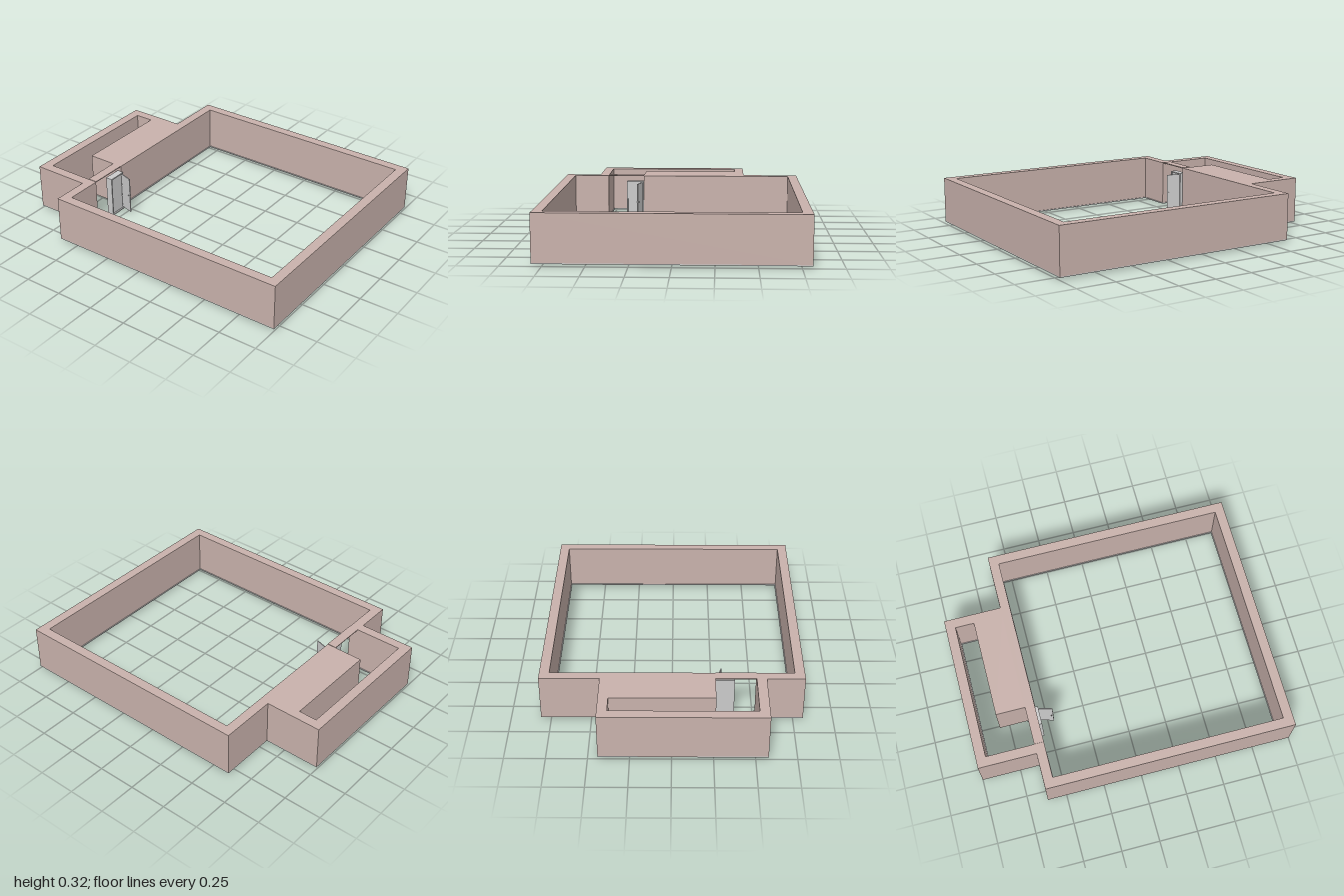
import * as THREE from 'three';

const brick = new THREE.MeshStandardMaterial({ color: 0xc9b2ac });
const grey = new THREE.MeshStandardMaterial({ color: 0xcccccc });

// Box given by its lower and upper corners
function box(name, material, [x0, y0, z0], [x1, y1, z1]) {
  const mesh = new THREE.Mesh(new THREE.BoxGeometry(x1 - x0, y1 - y0, z1 - z0), material);
  mesh.position.set((x0 + x1) / 2, (y0 + y1) / 2, (z0 + z1) / 2);
  mesh.name = name;
  return mesh;
}

const toPoints = (list) => list.map(([x, z]) => new THREE.Vector2(x, z));

// Wall plan: large room plus side annex, joined by a doorway; i widens the plan inwards
function plan(name, material, y0, y1, i) {
  const shape = new THREE.Shape(toPoints([
    [-0.625, -0.812], [1, -0.812], [1, 0.812], [-0.625, 0.812],
    [-0.625, 0.577], [-1, 0.577], [-1, -0.44], [-0.625, -0.44],
  ]));
  shape.holes.push(new THREE.Path(toPoints([
    [0.937 - i, -0.75 + i], [0.937 - i, 0.75 - i], [-0.563 + i, 0.75 - i], [-0.563 + i, 0.515 - i],
    [-0.937 + i, 0.515 - i], [-0.937 + i, -0.378 + i], [-0.625 - i, -0.378 + i],
    [-0.625 - i, 0.265 + i], [-0.563 + i, 0.265 + i], [-0.563 + i, -0.75 + i],
  ])));
  const geometry = new THREE.ExtrudeGeometry(shape, { depth: y1 - y0, bevelEnabled: false });
  geometry.rotateX(Math.PI / 2).translate(0, y1, 0);
  const mesh = new THREE.Mesh(geometry, material);
  mesh.name = name;
  return mesh;
}

export function createModel() {
  const model = new THREE.Group();
  model.name = 'walledRooms';

  // Walls on a thin base strip that shows inside
  model.add(plan('baseStrip', grey, 0.015, 0.021, 0.006));
  model.add(plan('walls', brick, 0.021, 0.315, 0));

  // Solid block filling part of the annex, and the thin slab above the doorway
  model.add(box('annexBlock', brick, [-0.815, 0.018, -0.378], [-0.625, 0.315, 0.265]));
  model.add(box('doorwaySlab', brick, [-0.625, 0.312, 0.265], [-0.563, 0.318, 0.515]));

  // Frame with back panel standing in the doorway
  const frame = new THREE.Group();
  frame.name = 'doorFrame';
  const [x0, x1, z0, z1, top, t] = [-0.59, -0.545, 0.266, 0.385, 0.277, 0.008];
  frame.add(
    box('backPanel', grey, [x0, 0, z0 + t], [x1 - 0.01, top - t, z1 - t]),
    box('hingeJamb', grey, [x0, 0, z0], [x1, top, z0 + t]),
    box('latchJamb', grey, [x0, 0, z1 - t], [x1, top, z1]),
    box('frameHead', grey, [x0, top - t, z0], [x1, top, z1]),
    box('threshold', grey, [x0, 0, z0 + t], [x1, t, z1 - t]),
  );
  model.add(frame);

  // Leaf swung open into the room, with a handle through it
  const door = new THREE.Group();
  door.name = 'openDoor';
  door.add(
    box('doorLeaf', grey, [0, 0.02, -0.003], [0.092, 0.27, 0.003]),
    box('doorHandle', grey, [0.078, 0.14, -0.01], [0.083, 0.146, 0.01]),
  );
  door.position.set(-0.547, 0, 0.278);
  door.rotation.y = -Math.atan2(0.025, 0.085);
  model.add(door);

  return model;
}
